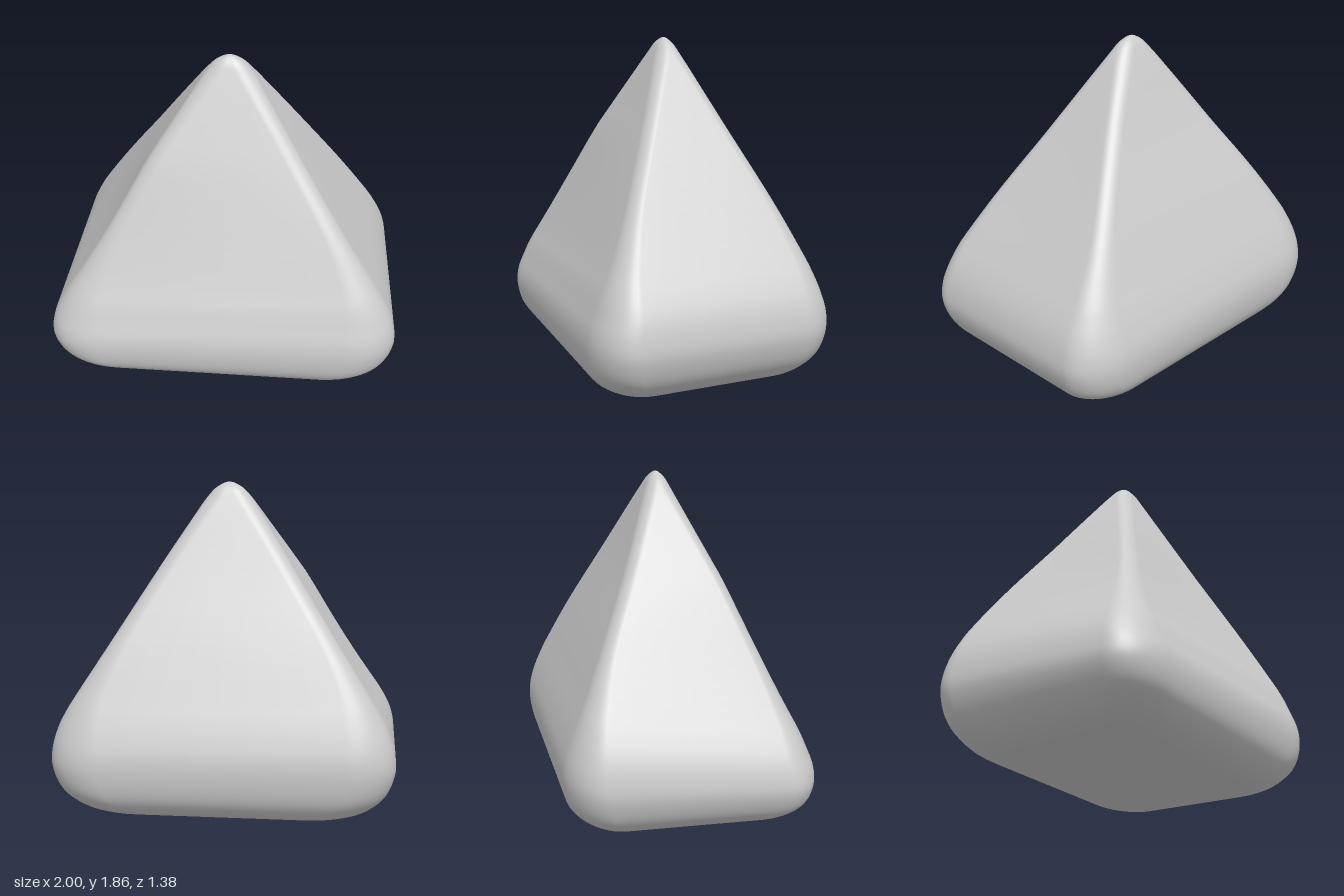
import * as THREE from 'three';

// Profile keys: height, half width, front depth, back depth, corner radius
const KEYS = [
  [0.0, 0.4, 0.28, -0.27, 0.12],
  [0.004, 0.65, 0.44, -0.43, 0.17],
  [0.05, 0.8, 0.56, -0.56, 0.2],
  [0.12, 0.89, 0.635, -0.635, 0.21],
  [0.2, 0.945, 0.675, -0.675, 0.21],
  [0.31, 0.979, 0.69, -0.692, 0.21],
  [0.41, 0.973, 0.68, -0.685, 0.2],
  [0.51, 0.945, 0.645, -0.655, 0.18],
  [0.61, 0.895, 0.605, -0.615, 0.15],
  [0.72, 0.825, 0.55, -0.565, 0.115],
  [1.0, 0.638, 0.415, -0.44, 0.07],
  [1.4, 0.377, 0.225, -0.255, 0.06],
  [1.68, 0.19, 0.095, -0.132, 0.06],
  [1.76, 0.135, 0.058, -0.096, 0.06],
  [1.82, 0.083, 0.028, -0.066, 0.045],
  [1.85, 0.035, 0.0, -0.037, 0.018],
  [1.858, 0.01, -0.013, -0.025, 0.006],
];
const ARC = 10, SIDE = 8, STEPS = 5;

// Rounded rectangle outline at one height
function ring(y, hx, zf, zb, r) {
  const hz = (zf - zb) / 2, cz = (zf + zb) / 2;
  const rx = Math.min(1.4 * r, hx), rz = Math.min(r, hz);
  const outline = [];
  for (let q = 0; q < 4; q++) {
    const sx = q === 0 || q === 3 ? 1 : -1, sz = q < 2 ? 1 : -1;
    for (let i = 0; i <= ARC; i++) {
      const a = (q + i / ARC) * Math.PI / 2;
      outline.push([sx * (hx - rx) + rx * Math.cos(a), cz + sz * (hz - rz) + rz * Math.sin(a)]);
    }
  }
  // Subdivide the straight side after each corner
  const pts = [];
  outline.forEach((p, i) => {
    pts.push(p);
    if (i % (ARC + 1) !== ARC) return;
    const n = outline[(i + 1) % outline.length];
    for (let s = 1; s < SIDE; s++) {
      const t = s / SIDE;
      pts.push([p[0] + (n[0] - p[0]) * t, p[1] + (n[1] - p[1]) * t]);
    }
  });
  // Slight hand-made unevenness: narrower back, sagging front right corner
  const bump = Math.sin(Math.PI * Math.min(1, y / 1.3));
  return pts.map(([x, z]) => {
    const u = (1 - x / hx) / 2, v = (1 + (z - cz) / hz) / 2;
    const lift = u * v * -0.09 + (1 - u) * v * 0.02 + u * (1 - v) * 0.03;
    return [x * (1 + 0.04 * z), y + lift * bump, z];
  });
}

function pyramidGeometry() {
  const widths = new THREE.CatmullRomCurve3(KEYS.map(k => new THREE.Vector3(k[1], k[0], k[4])), false, 'catmullrom', 0.5);
  const depths = new THREE.CatmullRomCurve3(KEYS.map(k => new THREE.Vector3(k[2], k[0], k[3])), false, 'catmullrom', 0.5);
  const rows = (KEYS.length - 1) * STEPS;
  const positions = [], index = [];
  let n = 0;
  for (let i = 0; i <= rows; i++) {
    const w = widths.getPoint(i / rows), d = depths.getPoint(i / rows);
    const pts = ring(Math.max(0, w.y), w.x, d.x, d.z, w.z);
    n = pts.length;
    pts.forEach(p => positions.push(...p));
  }
  const bottom = positions.length / 3, top = bottom + 1;
  positions.push(0, 0, 0, 0, 1.86, -0.019);
  for (let j = 0; j < n; j++) {
    const k = (j + 1) % n;
    for (let i = 0; i < rows; i++) {
      const a = i * n + j, b = i * n + k, c = a + n, d = b + n;
      index.push(a, c, b, b, c, d);
    }
    index.push(bottom, j, k, top, rows * n + k, rows * n + j);
  }
  const geo = new THREE.BufferGeometry();
  geo.setAttribute('position', new THREE.Float32BufferAttribute(positions, 3));
  geo.setIndex(index);
  geo.computeVertexNormals();
  return geo;
}

export function createModel() {
  const group = new THREE.Group();
  group.name = 'roundedPyramid';
  const body = new THREE.Mesh(pyramidGeometry(), new THREE.MeshStandardMaterial({ color: 0xcccccc }));
  body.name = 'pyramidBody';
  group.add(body);
  return group;
}
